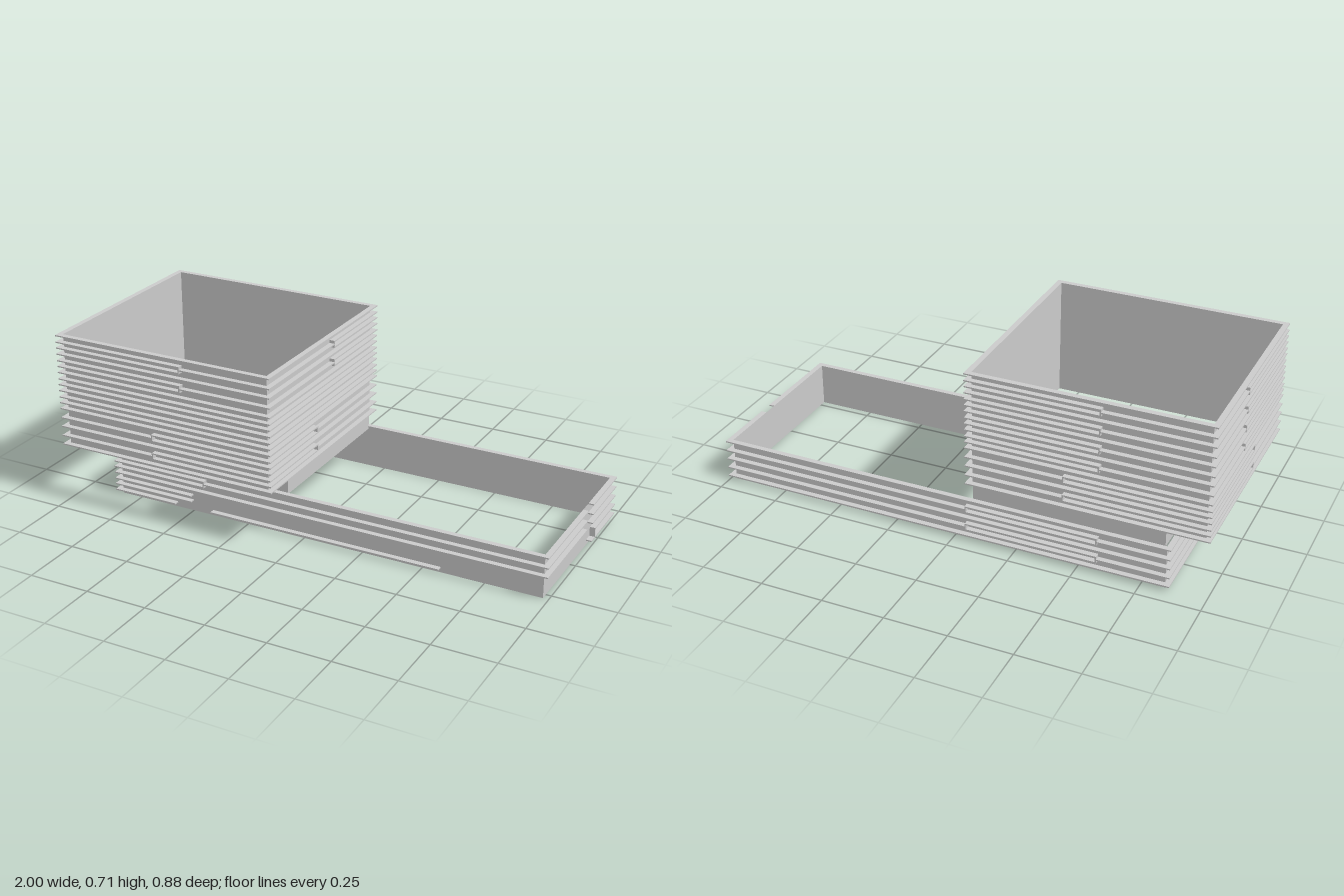
import * as THREE from 'three';

const D = 0.022, T = 0.005, GAP = 0.012; // fin depth, fin thickness, half spacing of a split fin
const mat = new THREE.MeshStandardMaterial({ color: 0xcccccc, side: THREE.DoubleSide, flatShading: true });

// wall rectangles, without the fins
const TOWER = { x0: -0.978, x1: -0.072, z0: -0.418, z1: 0.418 };
const BASE = { x0: -0.838, x1: 0.978, z0: -0.418, z1: 0.278 };
const NECK = { x0: -0.83, x1: -0.072, z0: -0.414, z1: 0.272 };

function add(group, name, geometry) {
  const mesh = new THREE.Mesh(geometry, mat);
  mesh.name = name;
  group.add(mesh);
  return mesh;
}

// open four-sided shell; the upper edge may flare outwards
function shell(group, name, r, y0, y1, flare = 0) {
  const ring = (y, f) => [
    [r.x0 - f, y, r.z1 + f], [r.x1 + f, y, r.z1 + f],
    [r.x1 + f, y, r.z0 - f], [r.x0 - f, y, r.z0 - f],
  ];
  const low = ring(y0, 0), high = ring(y1, flare), pos = [];
  for (let i = 0; i < 4; i++) {
    const j = (i + 1) % 4;
    pos.push(...low[i], ...low[j], ...high[j], ...low[i], ...high[j], ...high[i]);
  }
  const g = new THREE.BufferGeometry();
  g.setAttribute('position', new THREE.Float32BufferAttribute(pos, 3));
  g.computeVertexNormals();
  add(group, name, g);
}

// block standing out from one wall, from a to b along that wall
function block(group, name, r, side, a, b, y, h) {
  const along = side === 'front' || side === 'back';
  const c = { front: r.z1 + D / 2, back: r.z0 - D / 2, left: r.x1 + D / 2, right: r.x0 - D / 2 }[side];
  const len = Math.abs(b - a), mid = (a + b) / 2;
  const mesh = add(group, name, new THREE.BoxGeometry(along ? len : D, h, along ? D : len));
  mesh.position.set(along ? mid : c, y, along ? c : mid);
}

const fin = (g, r, side, a, b, y) => block(g, 'fin', r, side, a, b, y, T);
const cap = (g, r, side, p, y, h = 2 * GAP) => block(g, 'finCap', r, side, p - T / 2, p + T / 2, y, h + T);

// full extent of a side, fin corners included
const span = (r, side) => (side === 'front' || side === 'back' ? [r.x0 - D, r.x1 + D] : [r.z0 - D, r.z1 + D]);

function ringFin(g, r, y, sides = ['front', 'back', 'left', 'right']) {
  for (const s of sides) fin(g, r, s, ...span(r, s), y);
}

// row on one side: cuts divide it into runs that alternate single and split
function row(g, r, side, y, startsSplit, cuts = []) {
  const [lo, hi] = span(r, side), stops = [lo, ...cuts, hi];
  let split = startsSplit;
  for (let i = 0; i + 1 < stops.length; i++, split = !split) {
    for (const dy of split ? [-GAP, GAP] : [0]) fin(g, r, side, stops[i], stops[i + 1], y + dy);
  }
  for (const c of cuts) cap(g, r, side, c, y);
}

export function createModel() {
  const model = new THREE.Group();
  const tower = new THREE.Group(), base = new THREE.Group();
  tower.name = 'tower';
  base.name = 'base';
  model.add(tower, base);

  // tower walls, flared underside and neck
  shell(tower, 'towerWalls', TOWER, 0.235, 0.712);
  shell(tower, 'towerUnderside', TOWER, 0.235, 0.248, D);
  shell(model, 'neckWalls', NECK, 0.17, 0.24);

  // tower fins: plain rings with partly split rows between them
  const step = 0.0766, bottom = 0.25;
  for (let i = 0; i <= 6; i++) ringFin(tower, TOWER, bottom + i * step);
  for (let i = 0; i < 6; i++) {
    const y = bottom + (i + 0.5) * step - 0.001;
    if (i < 2) {
      row(tower, TOWER, 'front', y, false, [-0.575]);
      row(tower, TOWER, 'left', y, false, [0.07]);
      row(tower, TOWER, 'back', y, true, [-0.44]);
      row(tower, TOWER, 'right', y, true, [0.07]);
    } else {
      const middle = i < 4;
      row(tower, TOWER, 'front', y, true, middle ? [] : [-0.44]);
      row(tower, TOWER, 'left', y, true, middle ? [] : [-0.07]);
      row(tower, TOWER, 'back', y, false, [-0.575]);
      row(tower, TOWER, 'right', y, false, [-0.07]);
    }
  }

  // base walls
  shell(base, 'baseWalls', BASE, 0, 0.178);

  // base fins on the three long runs
  for (const y of [0.176, 0.097]) ringFin(base, BASE, y, ['front', 'back', 'right']);
  ringFin(base, BASE, 0.02, ['back', 'right']);
  row(base, BASE, 'front', 0.135, true, [-0.44]);
  for (const y of [0.135, 0.058]) {
    row(base, BASE, 'back', y, false, [-0.575, -0.05]);
    row(base, BASE, 'right', y, false, [-0.07]);
  }

  // short fins low on the front
  for (const dy of [-GAP, GAP]) fin(base, BASE, 'front', BASE.x0 - D, -0.5, 0.058 + dy);
  fin(base, BASE, 'front', BASE.x0 - D, -0.575, 0.02);
  fin(base, BASE, 'front', -0.41, 0.575, 0.02);

  // end wall fins, interrupted by a gap
  for (const y of [0.176, 0.135, 0.097]) {
    fin(base, BASE, 'left', -0.113, BASE.z1 + D, y);
    fin(base, BASE, 'left', BASE.z0 - D, -0.173, y);
  }
  fin(base, BASE, 'left', BASE.z0 - D, -0.173, 0.02);
  fin(base, BASE, 'left', BASE.z0 - D, -0.21, 0.058);
  cap(base, BASE, 'left', -0.212, 0.039, 0.038);

  return model;
}
